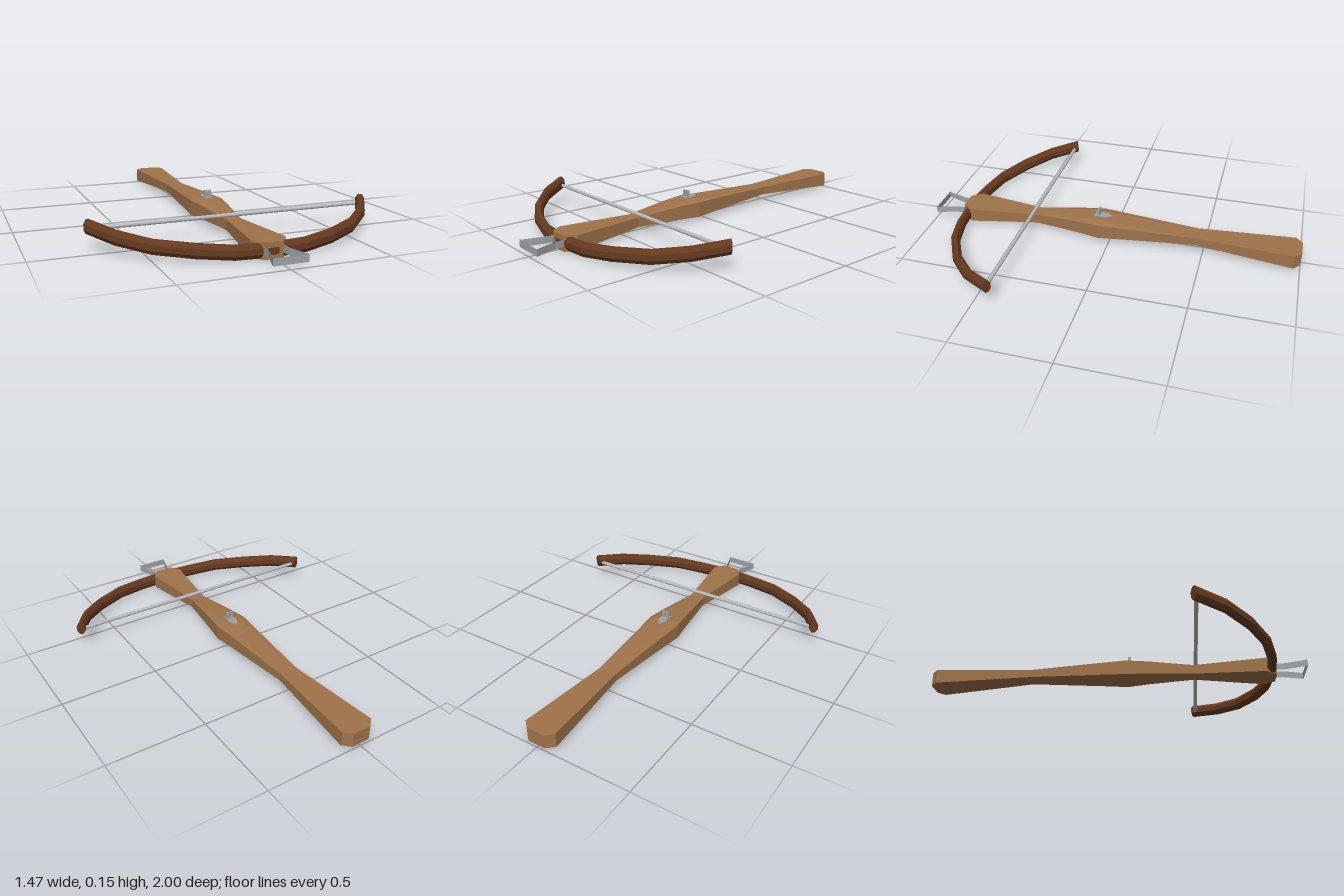
import * as THREE from 'three';

const wood = new THREE.MeshStandardMaterial({ color: 0x9f734a });
wood.name = 'stock wood';
const darkWood = new THREE.MeshStandardMaterial({ color: 0x673a20 });
darkWood.name = 'bow wood';
const steel = new THREE.MeshStandardMaterial({ color: 0x9fa3a7, side: THREE.DoubleSide });
steel.name = 'steel';
const cord = new THREE.MeshStandardMaterial({ color: 0xb9bdc0 });
cord.name = 'string grey';

// Faceted skin over rings of [x, y, z] points, counter-clockwise seen from the far end
function loft(rings, capped = true) {
  const pos = [];
  const n = rings[0].length;
  const tri = (a, b, c) => pos.push(...a, ...b, ...c);
  for (let i = 0; i < rings.length - 1; i++) {
    const a = rings[i], b = rings[i + 1];
    // An open strip has a single face per step
    for (let j = 0; j < (capped ? n : n - 1); j++) {
      const k = (j + 1) % n;
      tri(a[j], a[k], b[k]);
      tri(a[j], b[k], b[j]);
    }
  }
  if (capped) {
    const first = rings[0], last = rings[rings.length - 1];
    for (let j = 1; j < n - 1; j++) {
      tri(first[0], first[j + 1], first[j]);
      tri(last[0], last[j], last[j + 1]);
    }
  }
  const g = new THREE.BufferGeometry();
  g.setAttribute('position', new THREE.Float32BufferAttribute(pos, 3));
  g.computeVertexNormals();
  return g;
}

export function createModel() {
  const model = new THREE.Group();
  model.name = 'crossbow';
  const add = (geometry, material, name, parent = model) => {
    const mesh = new THREE.Mesh(geometry, material);
    mesh.name = name;
    parent.add(mesh);
    return mesh;
  };

  // Stock: z, half width, bottom, side top, ridge half width, ridge top
  const sections = [
    [-1.0, 0.047, 0.016, 0.091, 0.03, 0.091],
    [-0.965, 0.085, 0.017, 0.091, 0.05, 0.091],
    [-0.46, 0.048, 0.043, 0.085, 0.03, 0.085],
    [-0.08, 0.075, 0.027, 0.096, 0.045, 0.102],
    [0.06, 0.086, 0.02, 0.099, 0.05, 0.114],
    [0.18, 0.07, 0.025, 0.095, 0.04, 0.102],
    [0.42, 0.039, 0.027, 0.077, 0.025, 0.077],
    [0.79, 0.085, 0.004, 0.08, 0.05, 0.08],
    [0.845, 0.047, 0.001, 0.079, 0.03, 0.079],
  ];
  add(loft(sections.map(([z, w, lo, side, rw, top]) => [
    [-w, lo, z], [w, lo, z], [w, side, z], [rw, top, z], [-rw, top, z], [-w, side, z],
  ])), wood, 'stock');

  // Bow: eight-sided limb swept along a mirrored arc (x, y, z)
  const half = [
    [0.17, 0.039, 0.811], [0.33, 0.052, 0.768], [0.495, 0.064, 0.679],
    [0.625, 0.087, 0.562], [0.717, 0.111, 0.418],
  ];
  const path = [
    ...half.map(([x, y, z]) => [-x, y, z]).reverse(), [0, 0.038, 0.825], ...half,
  ].map((p) => new THREE.Vector3(...p));
  const bowRings = path.map((p, i) => {
    const t = path[Math.min(i + 1, path.length - 1)].clone().sub(path[Math.max(i - 1, 0)]);
    const side = new THREE.Vector3(t.z, 0, -t.x).normalize();
    return Array.from({ length: 8 }, (_, j) => {
      const a = (j + 0.5) * Math.PI / 4;
      const q = p.clone().addScaledVector(side, Math.cos(a) * 0.024);
      return [q.x, q.y + Math.sin(a) * 0.036, q.z];
    });
  });
  add(loft(bowRings), darkWood, 'bow');

  // String between the limb tips
  const string = add(new THREE.CylinderGeometry(0.01, 0.01, 1.41, 8), cord, 'string');
  string.rotation.z = Math.PI / 2;
  string.position.set(0, 0.102, 0.43);

  // Stirrup: thin upright strip bent into a foot loop
  const arm = [[0.046, 0.83], [0.05, 0.89], [0.064, 0.94], [0.084, 1.0]];
  const strip = [...arm, ...arm.map(([x, z]) => [-x, z]).reverse()];
  // Outer side is the front face
  const stirrup = loft(strip.map(([x, z]) => [[x, 0.06, z], [x, 0.025, z]]), false);
  add(stirrup, steel, 'stirrup');

  // Nut: pointed base plate with two upright prongs
  const nut = new THREE.Group();
  nut.name = 'nut';
  model.add(nut);
  const plate = new THREE.Shape([
    [0, 0], [0.022, -0.035], [0.022, -0.095], [-0.022, -0.095], [-0.022, -0.035],
  ].map(([x, y]) => new THREE.Vector2(x, y)));
  const base = add(new THREE.ExtrudeGeometry(plate, { depth: 0.009, bevelEnabled: false }), steel, 'nutPlate', nut);
  base.rotation.x = -Math.PI / 2;
  base.position.y = 0.108;
  for (const s of [-1, 1]) {
    const prong = add(new THREE.BoxGeometry(0.015, 0.037, 0.013), steel, 'nutProng', nut);
    prong.position.set(s * 0.0108, 0.133, 0.074);
  }
  return model;
}
